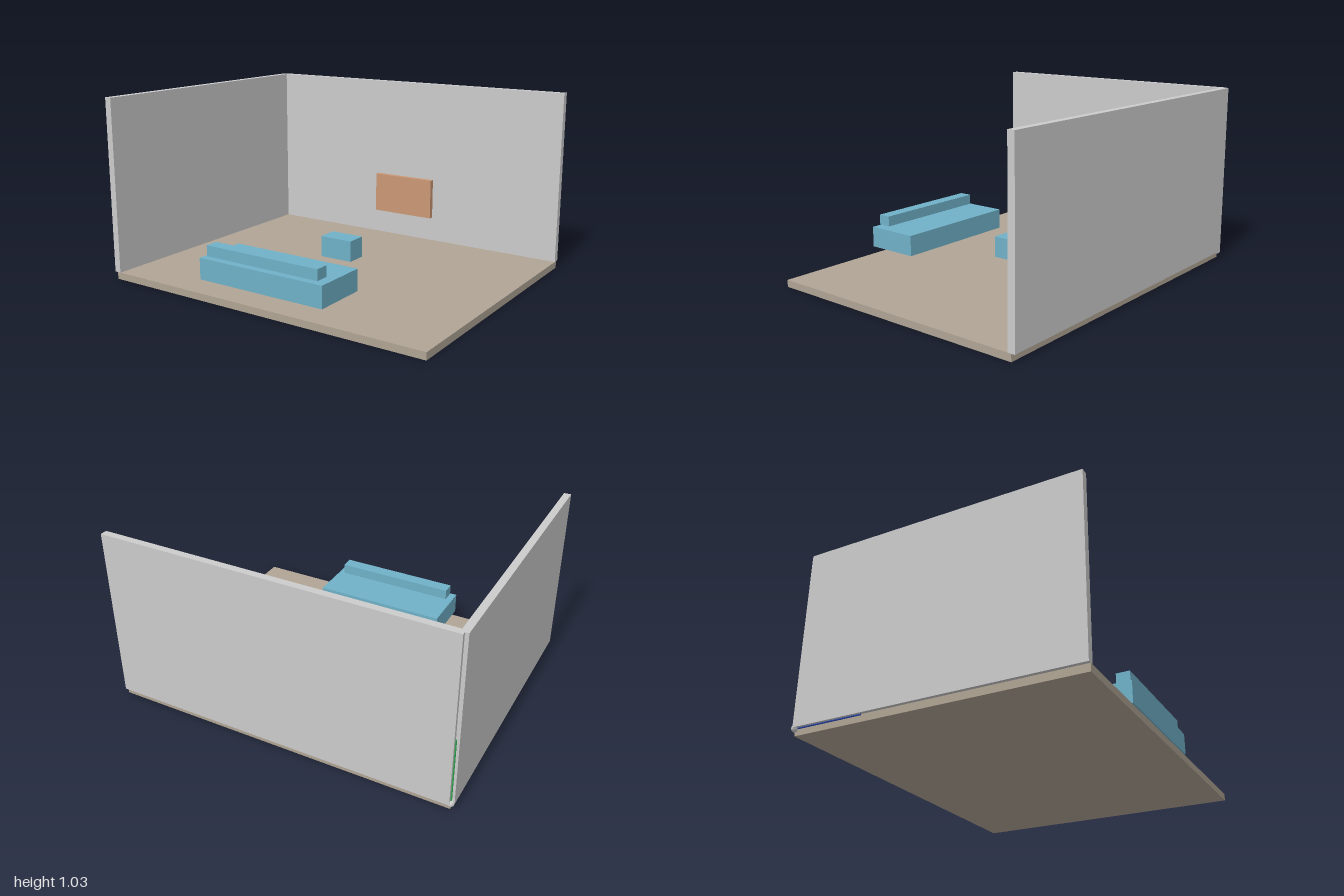
import * as THREE from 'three';

const material = (color) => new THREE.MeshStandardMaterial({ color });

// Box given by its min and max along each axis
function box(name, [x0, x1], [y0, y1], [z0, z1], mat) {
  const mesh = new THREE.Mesh(new THREE.BoxGeometry(x1 - x0, y1 - y0, z1 - z0), mat);
  mesh.position.set((x0 + x1) / 2, (y0 + y1) / 2, (z0 + z1) / 2);
  mesh.name = name;
  return mesh;
}

export function createModel() {
  const model = new THREE.Group();
  model.name = 'openRoom';
  const wall = material(0xcccccc);
  const floor = material(0xb0a494);
  const blue = material(0x70b1c8);
  const wood = material(0xcb9875);

  // Floor slab and two walls, leaving a small notch at the outer corner
  model.add(
    box('floor', [-0.98, 1], [0, 0.04], [-0.78, 0.8], floor),
    box('backWall', [-0.98, 1], [0.04, 1.03], [-0.8, -0.76], wall),
    box('sideWall', [-1, -0.96], [0.04, 1.03], [-0.78, 0.8], wall),
  );

  // Furniture blocks
  model.add(
    box('sofaSeat', [-0.385, 0.405], [0.1, 0.22], [0.445, 0.76], blue),
    box('sofaBack', [-0.35, 0.365], [0.23, 0.29], [0.665, 0.74], blue),
    box('table', [-0.09, 0.11], [0.1, 0.22], [-0.055, 0.065], blue),
    box('wallPanel', [-0.19, 0.205], [0.2, 0.44], [-0.72, -0.69], wood),
  );

  // Corner marker: a ball with three thin axis rods
  const marker = new THREE.Group();
  marker.name = 'cornerMarker';
  marker.position.set(-0.98, 0.04, -0.78);
  const ball = new THREE.Mesh(new THREE.SphereGeometry(0.02, 16, 12), material(0xffffff));
  ball.name = 'markerBall';
  marker.add(ball);
  const up = new THREE.Vector3(0, 1, 0);
  const rods = [
    ['xRod', new THREE.Vector3(1, 0, 0), 0xcc3333],
    ['yRod', up, 0x33aa55],
    ['zRod', new THREE.Vector3(0, 0, 1), 0x3355cc],
  ];
  for (const [name, dir, color] of rods) {
    const rod = new THREE.Mesh(new THREE.CylinderGeometry(0.006, 0.006, 0.4, 8), material(color));
    rod.name = name;
    rod.quaternion.setFromUnitVectors(up, dir);
    rod.position.copy(dir).multiplyScalar(0.2);
    marker.add(rod);
  }
  model.add(marker);
  return model;
}
